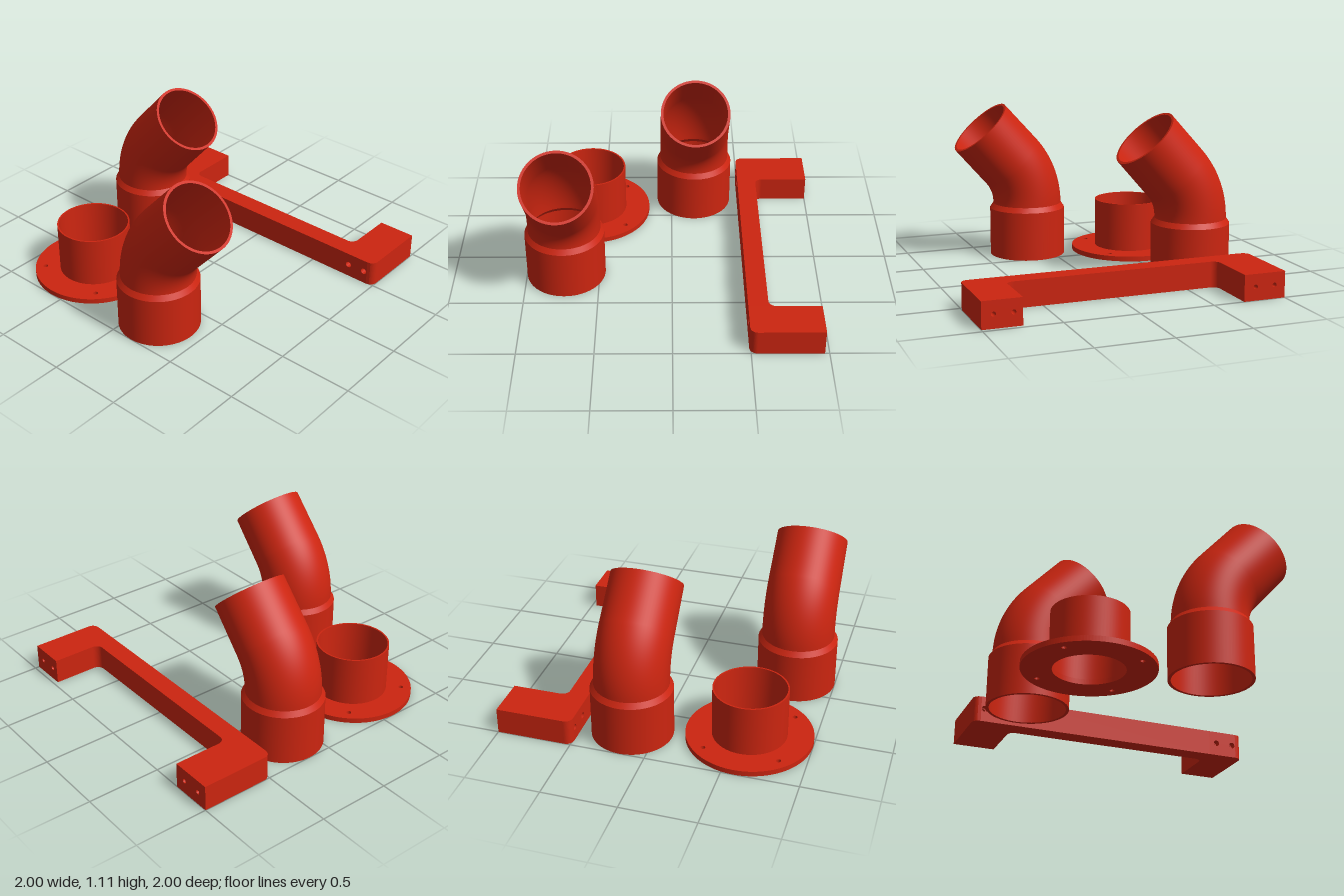
import * as THREE from 'three';

const red = new THREE.MeshStandardMaterial({ color: 0xcc2510 });
red.name = 'red plastic';

const SIDES = 72;
const BASE = 0.38;                          // height where the elbow starts to bend
const BEND = THREE.MathUtils.degToRad(42);
const BEND_R = 0.466;
const ARC = BEND_R * BEND;
const END = ARC + 0.34;                     // bend plus straight outlet

function add(parent, name, geometry) {
  const mesh = new THREE.Mesh(geometry, red);
  mesh.name = name;
  parent.add(mesh);
  return mesh;
}

// Centre and tilt of the pipe axis at distance s past the start of the bend
function axisAt(s) {
  if (s <= 0) return { x: 0, y: BASE + s, a: 0 };
  const a = Math.min(s, ARC) / BEND_R;
  const rest = Math.max(s - ARC, 0);
  return {
    x: BEND_R * (1 - Math.cos(a)) + rest * Math.sin(a),
    y: BASE + BEND_R * Math.sin(a) + rest * Math.cos(a),
    a,
  };
}

// Smooth skin through round cross-sections given as [s, radius]
function skin(rings) {
  const pos = [], index = [];
  rings.forEach(([s, r], i) => {
    const { x, y, a } = axisAt(s);
    for (let j = 0; j < SIDES; j++) {
      const t = (j / SIDES) * Math.PI * 2;
      const u = r * Math.cos(t);
      pos.push(x + u * Math.cos(a), y - u * Math.sin(a), r * Math.sin(t));
      if (i === rings.length - 1) continue;
      const p = i * SIDES + j, q = i * SIDES + ((j + 1) % SIDES);
      index.push(p, p + SIDES, q, q, p + SIDES, q + SIDES);
    }
  });
  const g = new THREE.BufferGeometry();
  g.setAttribute('position', new THREE.Float32BufferAttribute(pos, 3));
  g.setIndex(index);
  g.computeVertexNormals();
  return g;
}

// Rings along the bend and outlet, with a slight taper
function bendRings(r0, r1) {
  const rings = [];
  for (let i = 0; i <= 20; i++) rings.push([(ARC * i) / 20, r0 + (r1 - r0) * (ARC * i) / 20 / END]);
  rings.push([END, r1]);
  return rings;
}

function elbow(name, x, z) {
  const g = new THREE.Group();
  g.name = name;
  const floor = -BASE, lip = 0.345 - BASE;
  add(g, 'socketRim', skin([[floor, 0.25], [floor, 0.27]]));
  add(g, 'socketWall', skin([[floor, 0.27], [lip, 0.27]]));
  add(g, 'socketChamfer', skin([[lip, 0.27], [0, 0.246]]));
  add(g, 'bentPipe', skin(bendRings(0.246, 0.24)));
  add(g, 'outletRim', skin([[END, 0.24], [END, 0.222]]));
  add(g, 'pipeBore', skin(bendRings(0.225, 0.222).reverse()));
  add(g, 'socketStep', skin([[0, 0.225], [lip, 0.25]]));
  add(g, 'socketBore', skin([[lip, 0.25], [floor, 0.25]]));
  g.position.set(x, 0, z);
  return g;
}

function hole(x, y, r) {
  return new THREE.Path().absarc(x, y, r, 0, Math.PI * 2, true);
}

// Round mounting plate with a short spigot
function flange(x, z) {
  const g = new THREE.Group();
  g.name = 'flange';
  const plate = new THREE.Shape().absarc(0, 0, 0.417, 0, Math.PI * 2, false);
  plate.holes.push(hole(0, 0, 0.225));
  for (const sx of [-1, 1]) for (const sy of [-1, 1]) plate.holes.push(hole(sx * 0.246, sy * 0.246, 0.016));
  const geo = new THREE.ExtrudeGeometry(plate, { depth: 0.035, bevelEnabled: false, curveSegments: SIDES });
  add(g, 'mountingPlate', geo.rotateX(-Math.PI / 2));
  const foot = 0.034 - BASE;
  add(g, 'spigotWall', skin([[foot, 0.246], [0, 0.246]]));
  add(g, 'spigotRim', skin([[0, 0.246], [0, 0.235]]));
  add(g, 'spigotBore', skin([[0, 0.235], [foot, 0.225]]));
  g.position.set(x, 0, z);
  return g;
}

// Bracket: two drilled legs joined by a long bar
const H = 0.175, FRONT = -0.49, ROUND = 0.05;

function legSlab(x0, x1, holes, r, z0, z1, steps) {
  const s = new THREE.Shape([[x0, 0], [x1, 0], [x1, H], [x0, H]].map(p => new THREE.Vector2(...p)));
  holes.forEach(x => s.holes.push(hole(x, 0.09, r)));
  return new THREE.ExtrudeGeometry(s, { depth: z1 - z0, steps, bevelEnabled: false, curveSegments: 24 }).translate(0, 0, z0);
}

function bracket() {
  const g = new THREE.Group();
  g.name = 'bracket';
  const xl = -0.711, xr = 0.743, back = -0.623;
  const legs = [
    ['rightLeg', -1, xl, [-0.925, -0.79], -1],
    ['leftLeg', xr, 1, [0.8, 0.925], -0.97],
  ];
  for (const [name, x0, x1, holes, z0] of legs) {
    add(g, name, legSlab(x0, x1, holes, 0.015, z0, FRONT - ROUND, 1));
    // Front slab with wider holes and a rounded outer corner
    const front = legSlab(x0, x1, holes, 0.021, FRONT - ROUND, FRONT, 10);
    const p = front.attributes.position;
    for (let i = 0; i < p.count; i++) {
      if (Math.abs(p.getX(i)) < 0.999) continue;
      const d = Math.min(1, (p.getZ(i) - FRONT + ROUND) / ROUND);
      p.setX(i, Math.sign(p.getX(i)) * (1 - ROUND + ROUND * Math.sqrt(Math.max(0, 1 - d * d))));
    }
    front.computeVertexNormals();
    add(g, name + 'Corner', front);
  }
  // Bar outline seen from above (shape y is -z), with inner fillets
  const s = new THREE.Shape();
  s.moveTo(xl, -FRONT);
  s.lineTo(xr, -FRONT);
  s.lineTo(xr, -back + ROUND);
  s.absarc(xr - ROUND, -back + ROUND, ROUND, 0, -Math.PI / 2, true);
  s.lineTo(xl + ROUND, -back);
  s.absarc(xl + ROUND, -back + ROUND, ROUND, -Math.PI / 2, -Math.PI, true);
  s.lineTo(xl, -FRONT);
  const bar = new THREE.ExtrudeGeometry(s, { depth: H, bevelEnabled: false, curveSegments: 12 });
  add(g, 'bar', bar.rotateX(-Math.PI / 2));
  return g;
}

export function createModel() {
  const model = new THREE.Group();
  model.name = 'pipeFittings';
  model.add(
    elbow('rearElbow', -0.73, -0.165),
    elbow('frontElbow', 0.16, 0.73),
    flange(-0.583, 0.583),
    bracket(),
  );
  return model;
}
